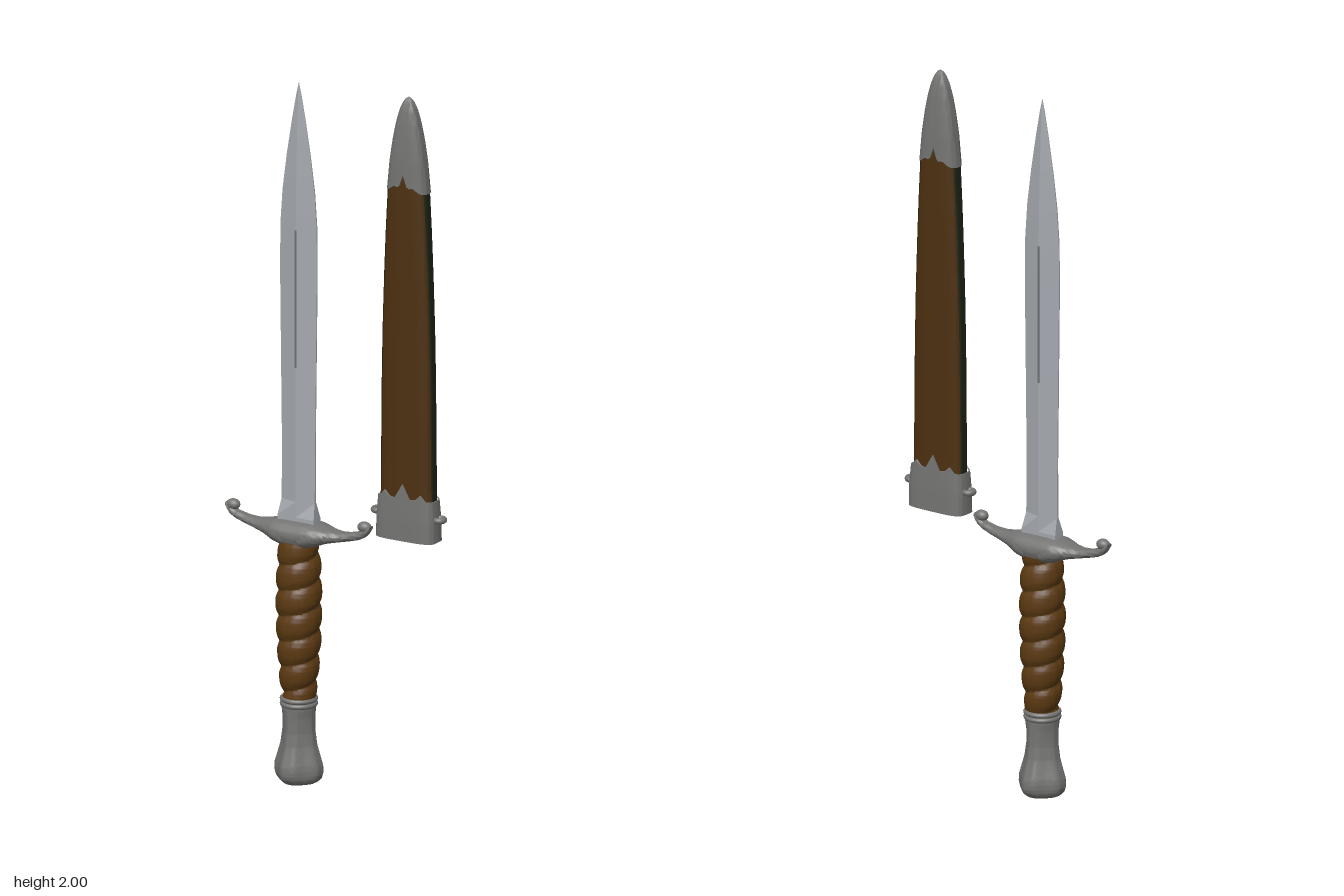
import * as THREE from 'three';
import { toCreasedNormals } from 'three/addons/utils/BufferGeometryUtils.js';

const mat = (name, color) => Object.assign(new THREE.MeshStandardMaterial({ color }), { name });

// Linear lookup in rows of [t, a, b, ...]
function lookup(rows, t) {
  let i = 0;
  while (i < rows.length - 2 && t > rows[i + 1][0]) i++;
  const [p, q] = [rows[i], rows[i + 1]];
  const k = THREE.MathUtils.clamp((t - p[0]) / (q[0] - p[0]), 0, 1);
  return p.slice(1).map((a, j) => a + (q[j + 1] - a) * k);
}

// Superellipse point
function oval(th, a, b, n) {
  const f = (c) => Math.sign(c) * Math.abs(c) ** (2 / n);
  return [a * f(Math.cos(th)), b * f(Math.sin(th))];
}

// Closed skin through rings of [x, y, z] points, capped at both ends if asked
function loft(rings, crease = 0.6, capStart = true, capEnd = true) {
  const n = rings[0].length, pos = rings.flat(2), index = [];
  for (let j = 0; j < rings.length - 1; j++) {
    for (let i = 0; i < n; i++) {
      const a = j * n + i, b = j * n + (i + 1) % n;
      index.push(a, a + n, b, b, a + n, b + n);
    }
  }
  const cap = (ring, start) => {
    const base = pos.length / 3;
    const mid = [0, 1, 2].map((k) => ring.reduce((s, p) => s + p[k], 0) / n);
    pos.push(...mid, ...ring.flat());
    for (let i = 0; i < n; i++) {
      const a = base + 1 + i, b = base + 1 + (i + 1) % n;
      index.push(base, start ? a : b, start ? b : a);
    }
  };
  if (capStart) cap(rings[0], true);
  if (capEnd) cap(rings[rings.length - 1], false);
  const g = new THREE.BufferGeometry();
  g.setAttribute('position', new THREE.Float32BufferAttribute(pos, 3));
  g.setIndex(index);
  return toCreasedNormals(g, crease);
}

// Rings from a function of (angle, v)
function rings(nv, nu, fn) {
  return Array.from({ length: nv + 1 }, (_, j) =>
    Array.from({ length: nu }, (_, i) => fn((i / nu) * Math.PI * 2, j / nv)));
}

const lerp = THREE.MathUtils.lerp;

export function createModel() {
  const steel = mat('bladeSteel', 0xa4a8ae);
  const darkSteel = mat('fullerShade', 0x6c7076);
  const metal = mat('fittingMetal', 0x747472);
  const wood = mat('gripBrown', 0x5c3a12);
  const leather = mat('scabbardLeather', 0x4c3010);
  const edge = mat('scabbardEdge', 0x1c2214);

  const model = new THREE.Group();
  const dagger = new THREE.Group();
  dagger.name = 'dagger';
  dagger.position.x = -0.118;
  const scabbard = new THREE.Group();
  scabbard.name = 'scabbard';
  scabbard.position.x = 0.228;
  model.add(dagger, scabbard);
  const add = (parent, name, geo, material, x = 0, y = 0, z = 0) => {
    const m = new THREE.Mesh(geo, material);
    m.name = name;
    m.position.set(x, y, z);
    parent.add(m);
    return m;
  };

  // Blade: rectangular root becoming a diamond section; rows are y, half width, ridge, edge
  const bladeRows = [
    [0.72, 0.057, 0.018, 0.018], [0.755, 0.057, 0.018, 0.018], [0.8, 0.052, 0.018, 0.004],
    [0.95, 0.052, 0.018, 0.002], [1.2, 0.055, 0.017, 0.002], [1.45, 0.058, 0.017, 0.002],
    [1.58, 0.057, 0.017, 0.002], [1.68, 0.05, 0.015, 0.002], [1.78, 0.037, 0.012, 0.0015],
    [1.88, 0.021, 0.008, 0.001], [1.95, 0.008, 0.004, 0.001], [1.985, 0.0005, 0.0005, 0.0003],
  ];
  add(dagger, 'blade', loft(bladeRows.map(([y, w, t, e]) => [
    [w, y, -e], [w, y, e], [0, y, t], [-w, y, e], [-w, y, -e], [0, y, -t],
  ]), 0.15), steel);
  for (const s of [1, -1]) {
    add(dagger, 'fuller', new THREE.BoxGeometry(0.005, 0.39, 0.003), darkSteel, 0, 1.375, s * 0.0165);
  }

  // Crossguard: lofted along x; rows are distance, top, bottom, half depth
  const guardRows = [
    [0, 0.746, 0.672, 0.055], [0.035, 0.746, 0.673, 0.055], [0.06, 0.744, 0.68, 0.053],
    [0.08, 0.739, 0.689, 0.045], [0.1, 0.734, 0.696, 0.035], [0.13, 0.731, 0.703, 0.025],
    [0.16, 0.734, 0.71, 0.019], [0.19, 0.742, 0.718, 0.015], [0.21, 0.753, 0.728, 0.014],
    [0.222, 0.764, 0.742, 0.013], [0.227, 0.762, 0.752, 0.01],
  ];
  add(dagger, 'crossguard', loft(rings(64, 32, (th, v) => {
    const x = lerp(-0.227, 0.227, v);
    const [top, bottom, hz] = lookup(guardRows, Math.abs(x));
    const [dy, dz] = oval(th, (top - bottom) / 2, hz, 2.4);
    return [x, (top + bottom) / 2 + dy, -dz];
  }), 0.9), metal);
  for (const s of [1, -1]) {
    const curl = add(dagger, 'guardCurl', new THREE.SphereGeometry(1, 20, 14), metal, s * 0.206, 0.757, 0);
    curl.scale.set(0.02, 0.015, 0.016);
  }

  // Grip: swollen handle with a spiral of rounded ridges
  const gripRows = [[0.235, 0.046], [0.3, 0.054], [0.4, 0.061], [0.52, 0.064], [0.62, 0.061], [0.69, 0.055]];
  add(dagger, 'grip', loft(rings(110, 48, (th, v) => {
    const y = lerp(0.235, 0.69, v);
    const turn = y / 0.072 + th / (Math.PI * 2);
    const r = lookup(gripRows, y)[0] - 0.009 * (1 - Math.abs(Math.sin(Math.PI * turn))) ** 1.5;
    return [r * Math.cos(th), y, r * Math.sin(th)];
  }), 0.7), wood);

  // Pommel: flares downward into four lobes; rows are y, radius, lobe depth
  const pommelRows = [
    [0, 0.03, 0.02], [0.006, 0.05, 0.05], [0.018, 0.062, 0.08], [0.035, 0.066, 0.1],
    [0.055, 0.065, 0.1], [0.08, 0.058, 0.1], [0.11, 0.05, 0.09], [0.15, 0.045, 0.07],
    [0.19, 0.045, 0.04], [0.215, 0.047, 0], [0.24, 0.047, 0],
  ];
  add(dagger, 'pommel', loft(rings(48, 48, (th, v) => {
    const y = 0.24 * v;
    const [r, lobe] = lookup(pommelRows, y);
    const q = r * (1 + lobe * Math.cos(4 * th));
    return [q * Math.cos(th), y, q * Math.sin(th)];
  }), 0.9), metal);
  for (const y of [0.226, 0.24]) {
    add(dagger, 'pommelCollar', new THREE.TorusGeometry(0.045, 0.007, 10, 40).rotateX(Math.PI / 2), metal, 0, y, 0);
  }

  // Scabbard body: rows are y, half width, half depth
  const bodyRows = [
    [0.753, 0.085, 0.033], [0.87, 0.081, 0.033], [1.2, 0.078, 0.032], [1.35, 0.075, 0.0315],
    [1.5, 0.07, 0.031], [1.62, 0.065, 0.03], [1.75, 0.058, 0.028], [1.82, 0.05, 0.025],
  ];
  add(scabbard, 'scabbardBody', loft(rings(28, 64, (th, v) => {
    const y = lerp(0.753, 1.82, v);
    const [x, z] = oval(th, ...lookup(bodyRows, y), 3);
    return [x, y, z];
  })), leather);

  // Dark seam showing along both narrow sides
  add(scabbard, 'sideSeam', loft(rings(24, 48, (th, v) => {
    const y = lerp(0.8, 1.79, v);
    const [x, z] = oval(th, lookup(bodyRows, y)[0] + 0.002, 0.019, 5);
    return [x, y, z];
  })), edge);

  // Throat fitting with a pointed upper edge and a rolled mouth
  const throatRows = [[0.75, 0.092, 0.041], [0.81, 0.091, 0.04], [0.87, 0.086, 0.037], [0.91, 0.084, 0.036]];
  const throatEdge = [[0, 0.91], [0.25, 0.868], [0.5, 0.872], [0.68, 0.886], [0.85, 0.868], [1, 0.866]];
  const across = (th, n) => Math.abs(Math.cos(th)) ** (2 / n);
  const throat = rings(10, 80, (th, v) => {
    const y = lerp(0.75, lookup(throatEdge, across(th, 4))[0], v);
    const [x, z] = oval(th, ...lookup(throatRows, y), 4);
    return [x, y, z];
  });
  const inner = (ring, k) => ring.map(([x, y, z]) => [x * (1 - k), y, z * (1 - 2 * k)]);
  throat.unshift(inner(throat[0], 0.1));
  throat.push(inner(throat[throat.length - 1], 0.05));
  add(scabbard, 'throatFitting', loft(throat, 0.6, false, false), metal);

  // Side lugs with an eye
  for (const s of [1, -1]) {
    const lug = add(scabbard, 'lug', new THREE.TorusGeometry(0.014, 0.007, 10, 28).rotateX(Math.PI / 2), metal, s * 0.096, 0.815, 0);
    lug.scale.y = 1.2;
  }

  // Tip cap with a notched lower edge
  const capRows = [
    [1.73, 0.063, 0.034], [1.82, 0.054, 0.032], [1.88, 0.045, 0.028], [1.93, 0.035, 0.023],
    [1.965, 0.025, 0.017], [1.985, 0.016, 0.011], [1.995, 0.009, 0.006], [2, 0.001, 0.001],
  ];
  const capEdge = [[0, 1.785], [0.25, 1.748], [0.5, 1.752], [0.8, 1.738], [1, 1.734]];
  const tip = rings(24, 64, (th, v) => {
    const y = lerp(lookup(capEdge, across(th, 3))[0], 2, 1 - (1 - v) ** 1.6);
    const [x, z] = oval(th, ...lookup(capRows, y), 2.8);
    return [x, y, z];
  });
  tip.unshift(inner(tip[0], 0.08));
  add(scabbard, 'tipCap', loft(tip, 0.7, false, true), metal);

  return model;
}
